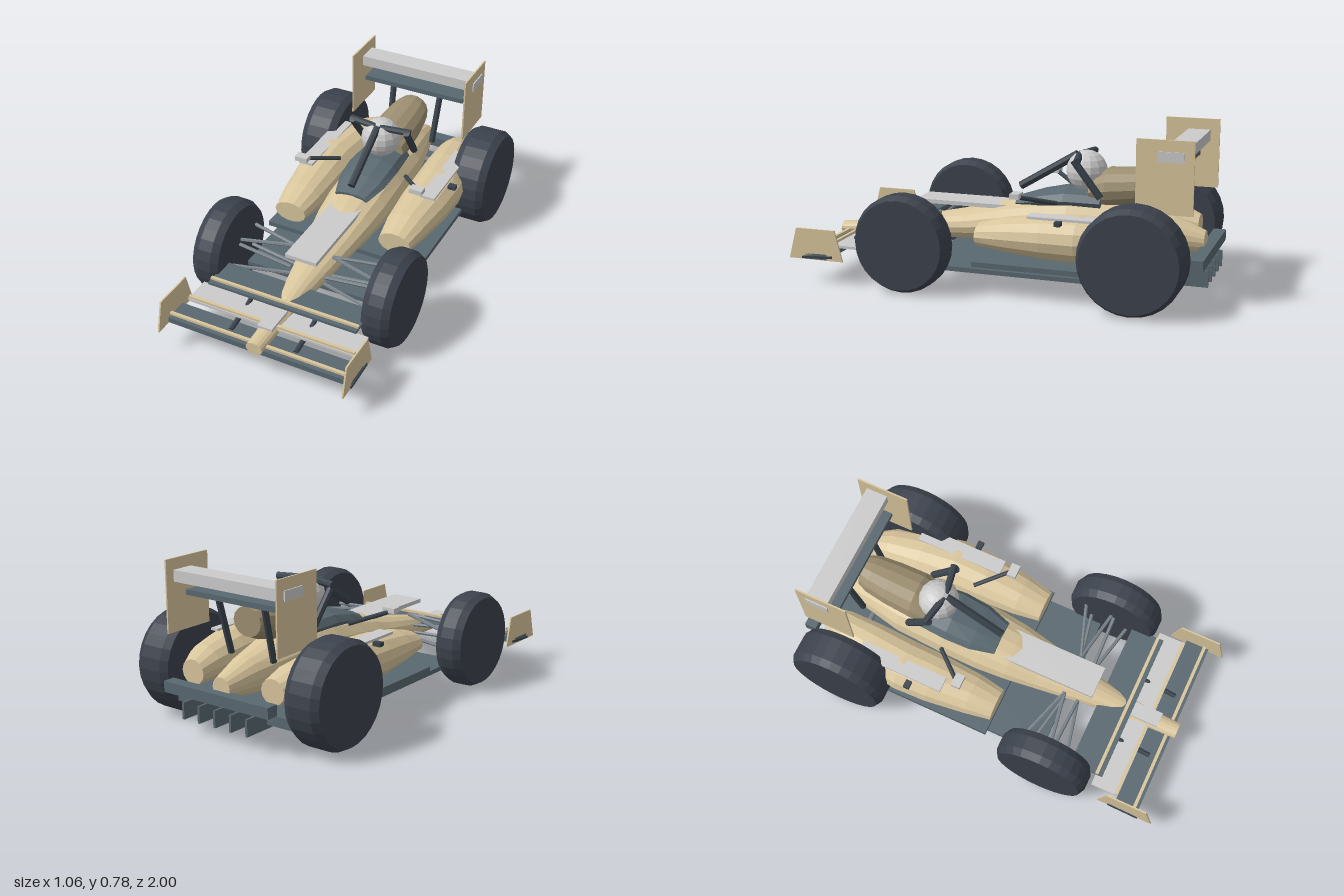
import * as THREE from 'three';

const mat = (color) => new THREE.MeshStandardMaterial({ color, flatShading: true, side: THREE.DoubleSide });

export function createModel() {
  const car = new THREE.Group();
  car.name = 'openWheelRaceCar';
  const gold = mat(0xd8c59c), brown = mat(0x9c8e70), slate = mat(0x596870), carbon = mat(0x3a434c);
  const rubber = mat(0x3c424d), grey = mat(0xcccccc), white = mat(0xeeeeee), steel = mat(0x7a838a);

  const add = (name, geometry, material) => {
    const mesh = new THREE.Mesh(geometry, material);
    mesh.name = name;
    car.add(mesh);
    return mesh;
  };

  // Box given by its extents on each axis
  const box = (name, material, [x0, x1], [y0, y1], [z0, z1]) => {
    const mesh = add(name, new THREE.BoxGeometry(Math.abs(x1 - x0), y1 - y0, Math.abs(z1 - z0)), material);
    mesh.position.set((x0 + x1) / 2, (y0 + y1) / 2, (z0 + z1) / 2);
    return mesh;
  };

  // Straight rod between two points
  const rod = (name, material, a, b, radius, sides = 8) => {
    const from = new THREE.Vector3(...a), to = new THREE.Vector3(...b);
    const mesh = add(name, new THREE.CylinderGeometry(radius, radius, from.distanceTo(to), sides), material);
    mesh.position.copy(from).add(to).multiplyScalar(0.5);
    mesh.quaternion.setFromUnitVectors(new THREE.Vector3(0, 1, 0), to.sub(from).normalize());
    return mesh;
  };

  // Capped elliptical loft; stations run front to back: [z, centreX, halfWidth, bottom, top]
  const loft = (name, material, stations, sides = 14) => {
    const pos = [], idx = [], last = stations.length - 1;
    for (const [z, cx, hw, yb, yt] of stations) {
      for (let j = 0; j < sides; j++) {
        const t = (j / sides) * Math.PI * 2;
        pos.push(cx + hw * Math.cos(t), (yb + yt) / 2 + ((yt - yb) / 2) * Math.sin(t), z);
      }
    }
    for (let j = 0; j < sides; j++) {
      const k = (j + 1) % sides;
      for (let i = 0; i < last; i++) {
        const a = i * sides + j, b = i * sides + k;
        idx.push(a, a + sides, b, b, a + sides, b + sides);
      }
      if (j > 0 && k > 0) idx.push(0, j, k, last * sides, last * sides + k, last * sides + j);
    }
    const g = new THREE.BufferGeometry();
    g.setAttribute('position', new THREE.Float32BufferAttribute(pos, 3));
    g.setIndex(idx);
    g.computeVertexNormals();
    return add(name, g, material);
  };

  // Thin upright plate from a (z, y) outline
  const plate = (name, material, outline, x, thickness) => {
    const shape = new THREE.Shape(outline.map(([z, y]) => new THREE.Vector2(z, y)));
    const g = new THREE.ExtrudeGeometry(shape, { depth: thickness, bevelEnabled: false });
    g.translate(0, 0, -thickness / 2).rotateY(-Math.PI / 2);
    add(name, g, material).position.x = x;
  };

  // Tyre with bevelled shoulders
  const wheel = (name, x, z, r, width) => {
    const h = width / 2;
    const profile = [[0, -h], [0.92 * r, -h], [r, 0.035 - h], [r, h - 0.035], [0.92 * r, h], [0, h]];
    const g = new THREE.LatheGeometry(profile.map(([px, py]) => new THREE.Vector2(px, py)), 28);
    add(name, g.rotateZ(Math.PI / 2), rubber).position.set(x, r, z);
  };

  // Main body from nose to tail
  loft('body', gold, [
    [0.94, 0, 0.042, 0.13, 0.195], [0.85, 0, 0.045, 0.135, 0.2], [0.7, 0, 0.052, 0.14, 0.212],
    [0.63, 0, 0.058, 0.14, 0.235], [0.5, 0, 0.076, 0.15, 0.265], [0.36, 0, 0.1, 0.16, 0.295],
    [0.2, 0, 0.127, 0.17, 0.33], [0.05, 0, 0.152, 0.17, 0.375], [-0.1, 0, 0.165, 0.16, 0.41],
    [-0.3, 0, 0.165, 0.16, 0.44], [-0.55, 0, 0.15, 0.17, 0.42], [-0.8, 0, 0.09, 0.18, 0.36],
    [-0.95, 0, 0.05, 0.2, 0.3],
  ], 16);
  loft('engineCover', brown, [
    [-0.4, 0, 0.11, 0.4, 0.53], [-0.48, 0, 0.12, 0.38, 0.575], [-0.62, 0, 0.113, 0.4, 0.583],
    [-0.72, 0, 0.1, 0.42, 0.587], [-0.77, 0, 0.08, 0.44, 0.58],
  ]);
  loft('cockpitSurround', slate, [
    [-0.03, 0, 0.09, 0.36, 0.405], [-0.15, 0, 0.125, 0.36, 0.445],
    [-0.28, 0, 0.133, 0.36, 0.475], [-0.46, 0, 0.12, 0.36, 0.47],
  ], 10);
  box('bodyTopPanel', grey, [-0.082, 0.082], [0.345, 0.365], [0, 0.495]);
  box('noseTopPanel', grey, [-0.038, 0.038], [0.198, 0.212], [0.69, 0.84]);

  // Driver and head guard
  add('helmet', new THREE.SphereGeometry(0.1, 14, 10), white).position.set(0, 0.55, -0.365);
  rod('headGuardFrontStrut', carbon, [0, 0.452, -0.03], [0, 0.628, -0.32], 0.02);

  // Floors
  box('upperFloor', slate, [-0.42, 0.42], [0.14, 0.165], [-0.905, 0.075]);
  box('lowerFloor', slate, [-0.385, 0.385], [0.1, 0.122], [-0.87, 0.36]);

  // Stepped front wing: planes with gold leading strips
  box('frontWingMain', slate, [-0.48, 0.48], [0.12, 0.148], [0.8, 0.92]);
  box('frontWingMiddle', grey, [-0.437, 0.437], [0.174, 0.187], [0.66, 0.8]);
  box('frontWingUpper', slate, [-0.39, 0.39], [0.214, 0.227], [0.525, 0.695]);
  for (const [hw, y, z] of [[0.48, 0.16, 0.897], [0.435, 0.195, 0.79], [0.39, 0.233, 0.665]])
    box('frontWingStrip', gold, [-hw, hw], [y - 0.006, y + 0.006], [z - 0.008, z + 0.008]);

  // Rear wing, beam wing and diffuser
  box('rearWingMain', grey, [-0.317, 0.317], [0.673, 0.727], [-0.9, -0.79]);
  box('rearWingLower', slate, [-0.28, 0.28], [0.61, 0.635], [-0.86, -0.755]);
  box('rearBeamWing', slate, [-0.305, 0.305], [0.183, 0.235], [-0.995, -0.935]);
  for (const x of [-0.186, -0.093, 0, 0.093, 0.186])
    box('diffuserStrake', slate, [x - 0.006, x + 0.006], [0.08, 0.16], [-1, -0.8]);

  // Mirrored parts
  for (const s of [1, -1]) {
    wheel('frontWheel', s * 0.448, 0.407, 0.236, 0.14);
    wheel('rearWheel', s * 0.436, -0.703, 0.249, 0.186);

    loft('sidepod', gold, [
      [0.08, s * 0.288, 0.085, 0.215, 0.325], [-0.05, s * 0.29, 0.108, 0.195, 0.36],
      [-0.25, s * 0.298, 0.128, 0.18, 0.39], [-0.42, s * 0.3, 0.133, 0.175, 0.4],
      [-0.6, s * 0.28, 0.122, 0.18, 0.39], [-0.78, s * 0.255, 0.1, 0.19, 0.36],
      [-0.88, s * 0.235, 0.065, 0.2, 0.32],
    ]);
    box('sidepodPanel', grey, [s * 0.303, s * 0.38], [0.384, 0.396], [-0.64, -0.185]);
    box('sidepodFin', carbon, [s * 0.39, s * 0.43], [0.37, 0.39], [-0.36, -0.33]);

    // Head guard sides
    rod('headGuardArm', carbon, [s * 0.01, 0.625, -0.33], [s * 0.165, 0.62, -0.36], 0.018);
    rod('headGuardRearStrut', carbon, [s * 0.15, 0.625, -0.34], [s * 0.14, 0.45, -0.47], 0.018);

    // Mirrors
    box('mirror', grey, [s * 0.283, s * 0.35], [0.463, 0.488], [-0.135, -0.09]);
    rod('mirrorArm', carbon, [s * 0.185, 0.42, -0.27], [s * 0.31, 0.465, -0.13], 0.011);

    // Front suspension
    for (const [inner, outer] of [
      [[0.1, 0.315, 0.36], [0.4, 0.285, 0.26]], [[0.1, 0.315, 0.36], [0.4, 0.285, 0.41]],
      [[0.09, 0.2, 0.43], [0.4, 0.19, 0.5]], [[0.09, 0.2, 0.36], [0.4, 0.19, 0.3]],
      [[0.09, 0.24, 0.43], [0.4, 0.27, 0.42]],
    ]) rod('frontSuspensionArm', steel, [s * inner[0], ...inner.slice(1)], [s * outer[0], ...outer.slice(1)], 0.009, 6);
    rod('rearAxle', steel, [s * 0.08, 0.25, -0.7], [s * 0.36, 0.25, -0.7], 0.014);

    // Front wing supports and endplates
    rod('frontWingSupport', carbon, [s * 0.17, 0.145, 0.86], [s * 0.17, 0.17, 0.75], 0.013);
    rod('frontWingUpperSupport', carbon, [s * 0.17, 0.175, 0.72], [s * 0.17, 0.21, 0.62], 0.012);
    plate('frontEndplate', gold, [[1, 0.118], [0.96, 0.27], [0.755, 0.27], [0.715, 0.118]], s * 0.476, 0.008);
    box('frontEndplateFin', carbon, [s * 0.476, s * 0.486], [0.126, 0.137], [0.77, 0.93]).rotation.x = 0.06;

    // Rear wing endplates and struts
    plate('rearEndplate', gold, [[-0.68, 0.44], [-0.68, 0.78], [-0.945, 0.78], [-0.945, 0.44]], s * 0.318, 0.008);
    box('rearEndplatePanel', grey, [s * 0.318, s * 0.328], [0.68, 0.727], [-0.9, -0.78]);
    rod('rearWingStrut', carbon, [s * 0.135, 0.62, -0.81], [s * 0.125, 0.34, -0.74], 0.016);
  }
  return car;
}
